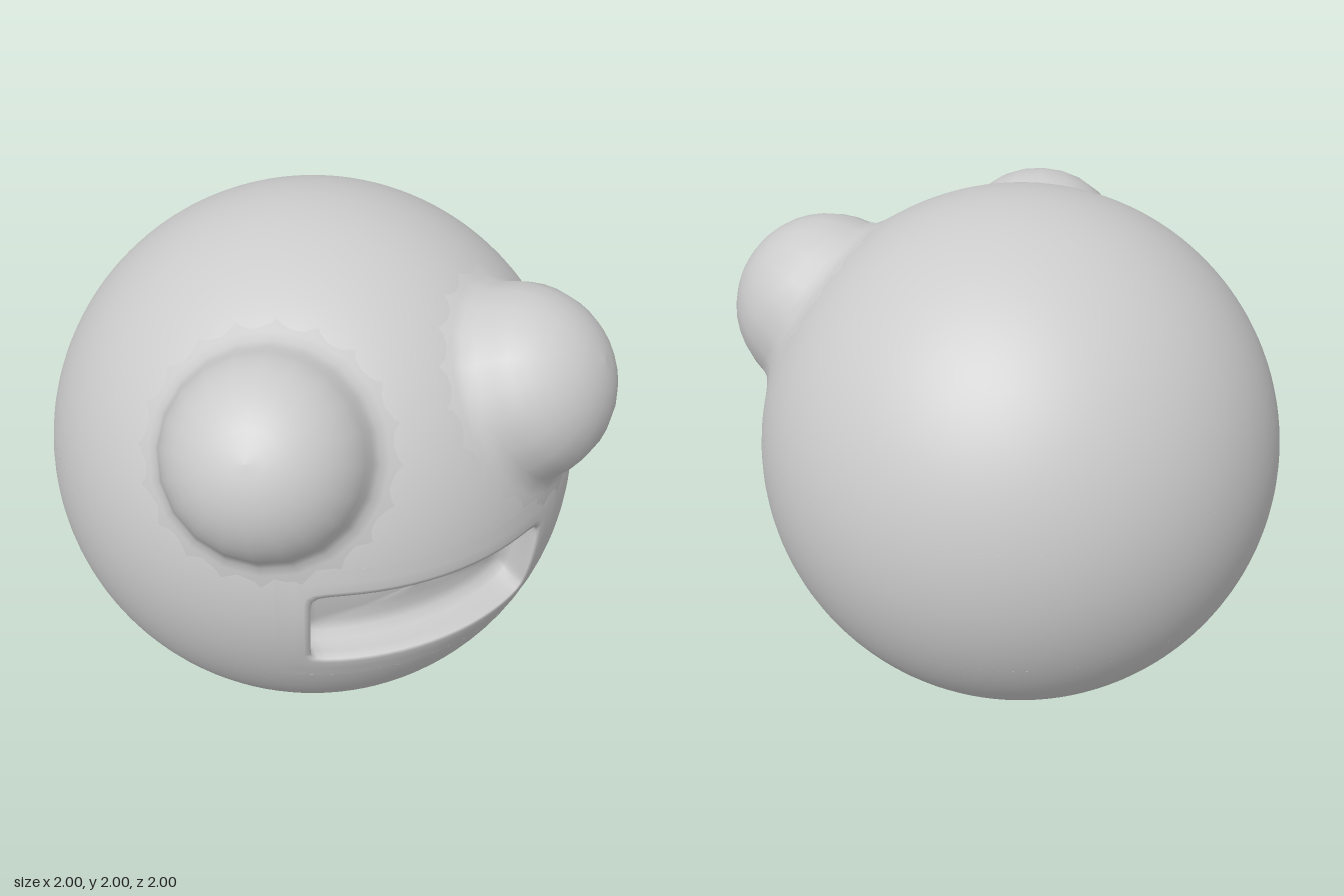
import * as THREE from 'three';

const MAT = new THREE.MeshStandardMaterial({ color: 0xcccccc, side: THREE.DoubleSide });

// Mouth patch limits on the unit ball: longitude half-width, middle height, half-height
const U = 0.6, MID = -0.145, HV = 0.275;

// Rings from the skin to the mouth floor: half-longitude, half-height, corner rounding, depth
const RINGS = [
  [U, HV, 0, 0], [0.54, 0.225, 0.5, 0], [0.5, 0.185, 1, 0], [0.474, 0.167, 1, 0.006],
  [0.468, 0.164, 1, 0.05], [0.466, 0.16, 1, 0.11], [0.445, 0.14, 1, 0.15],
  [0.38, 0.1, 1, 0.168], [0.2, 0.05, 1, 0.175], [0.001, 0.001, 1, 0.175],
];

function mouthGeometry() {
  const N = 16, count = 4 * N, pos = [], idx = [];
  RINGS.forEach(([hu, hv, round, depth], k) => {
    for (let i = 0; i < count; i++) {
      // walk counter-clockwise round a square, rounding its corners
      const a = (i % N) / N * 2 - 1;
      let [s, t] = [[a, -1], [1, a], [-a, 1], [-1, -a]][Math.floor(i / N)];
      const f = 1 - round + round * Math.pow(s ** 12 + t ** 12, -1 / 12);
      const u = s * f * hu, v = MID + t * f * hv, rho = Math.sqrt(1 - v * v);
      pos.push(rho * Math.sin(u), v, rho * Math.cos(u) - depth);
      if (k < RINGS.length - 1) {
        const p = k * count + i, q = k * count + (i + 1) % count;
        idx.push(p, q, q + count, p, q + count, p + count);
      }
    }
  });
  const g = new THREE.BufferGeometry();
  g.setAttribute('position', new THREE.Float32BufferAttribute(pos, 3));
  g.setIndex(idx);
  g.computeVertexNormals();
  return g;
}

// Bulging eye: a flared foot on the skin, then a ball
function eyeGeometry() {
  const r = 0.365, d = 0.912;
  const pts = [[0.49, 0.862], [0.45, 0.893], [0.41, 0.916], [0.38, 0.938]].map(p => new THREE.Vector2(...p));
  for (let i = 0; i <= 9; i++) {
    const a = 0.17 + (Math.PI / 2 - 0.17) * i / 9;
    pts.push(new THREE.Vector2(Math.max(r * Math.cos(a), 0), d + r * Math.sin(a)));
  }
  return new THREE.LatheGeometry(pts, 20);
}

export function createModel() {
  const model = new THREE.Group();
  const add = (name, geometry) => {
    const mesh = new THREE.Mesh(geometry, MAT);
    mesh.name = name;
    mesh.position.y = 1;
    model.add(mesh);
    return mesh;
  };

  // Ball head, left open where the mouth patch sits
  const t0 = Math.acos(MID + HV), t1 = Math.acos(MID - HV), full = Math.PI * 2;
  add('headTop', new THREE.SphereGeometry(1, 96, 32, 0, full, 0, t0));
  add('headBand', new THREE.SphereGeometry(1, 80, 16, Math.PI / 2 + U, full - 2 * U, t0, t1 - t0));
  add('headBottom', new THREE.SphereGeometry(1, 96, 24, 0, full, t1, Math.PI - t1));
  add('mouth', mouthGeometry());

  // Mirrored eyes
  const eye = eyeGeometry();
  for (const side of [1, -1]) {
    const dir = new THREE.Vector3(side * 0.485, 0.455, 0.625).normalize();
    add(side > 0 ? 'leftEye' : 'rightEye', eye)
      .quaternion.setFromUnitVectors(new THREE.Vector3(0, 1, 0), dir);
  }
  return model;
}
